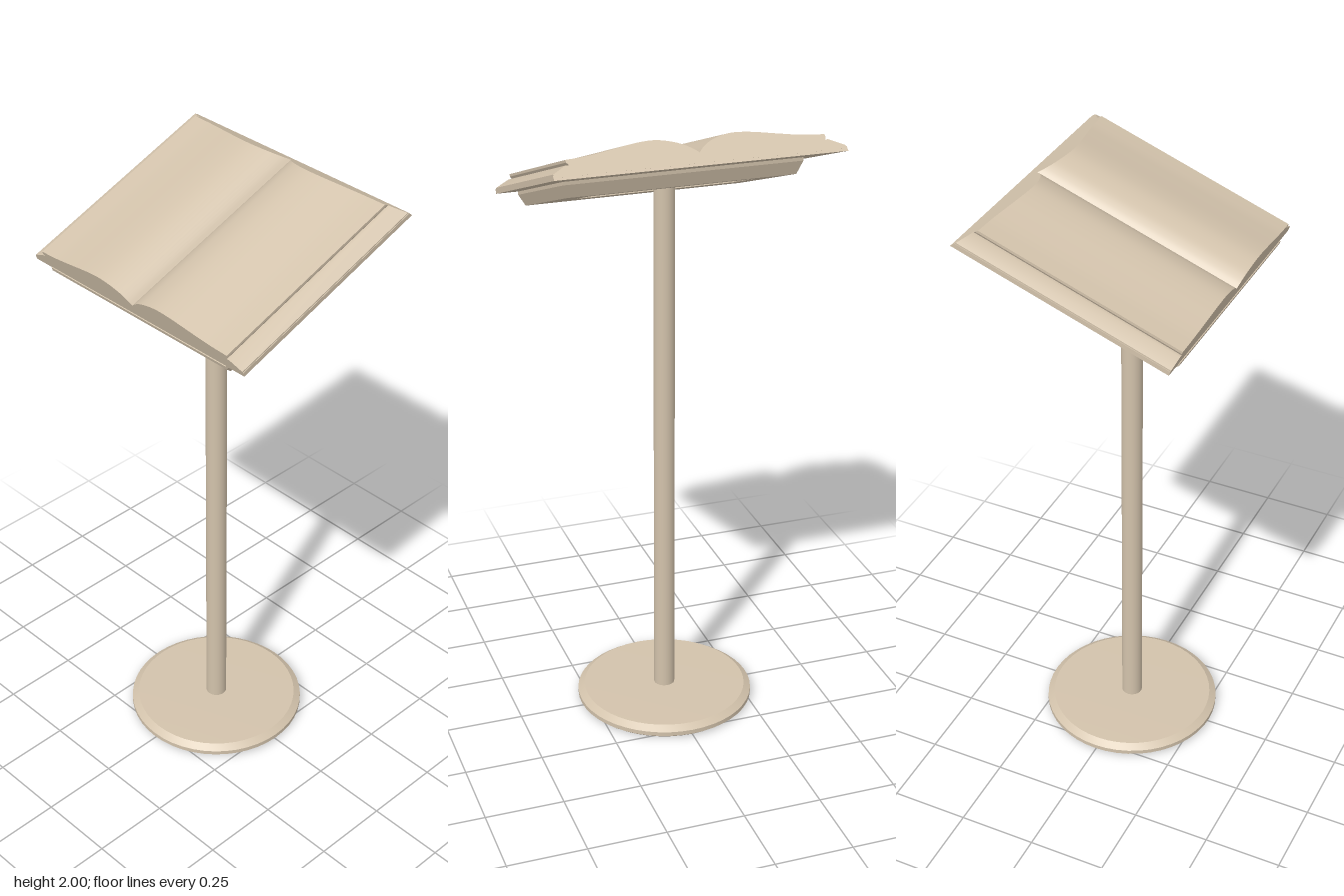
import * as THREE from 'three';
import { toCreasedNormals } from 'three/addons/utils/BufferGeometryUtils.js';

const TILT = 0.345;
const BACK = -0.355;

// Extrude an x-y section along z; the back end leans forward as it rises.
function slantedExtrude(points) {
  const front = 0.357;
  const geo = new THREE.ExtrudeGeometry(new THREE.Shape(points), { depth: 1, bevelEnabled: false });
  const p = geo.attributes.position;
  for (let i = 0; i < p.count; i++) {
    p.setZ(i, p.getZ(i) > 0.5 ? front : BACK + 0.89 * Math.max(p.getY(i), 0));
  }
  return toCreasedNormals(geo, 0.5);
}

// Skin a series of rectangles [halfWidth, zBack, zFront, y], closing the last one.
function rectLoft(rings) {
  const corners = rings.map(([w, z0, z1, y]) => [[w, y, z1], [-w, y, z1], [-w, y, z0], [w, y, z0]]);
  const out = [];
  const quad = (a, b, c, d) => out.push(...a, ...b, ...c, ...a, ...c, ...d);
  for (let i = 0; i < corners.length - 1; i++) {
    const a = corners[i], b = corners[i + 1];
    for (let k = 0; k < 4; k++) {
      const n = (k + 1) % 4;
      quad(a[k], a[n], b[n], b[k]);
    }
  }
  quad(...corners[corners.length - 1]);
  const geo = new THREE.BufferGeometry();
  geo.setAttribute('position', new THREE.Float32BufferAttribute(out, 3));
  geo.computeVertexNormals();
  return geo;
}

export function createModel() {
  const model = new THREE.Group();
  model.name = 'bookOnStand';
  const stone = new THREE.MeshStandardMaterial({ color: 0xd2c2ab });
  stone.name = 'pale stone';

  const add = (parent, name, geo) => {
    const mesh = new THREE.Mesh(geo, stone);
    mesh.name = name;
    parent.add(mesh);
    return mesh;
  };

  // Round foot with a chamfered rim
  const rim = [[0, 0], [0.28, 0], [0.29, 0.008], [0.29, 0.022], [0.268, 0.037], [0, 0.039]];
  const foot = new THREE.LatheGeometry(rim.map(([x, y]) => new THREE.Vector2(x, y)), 48);
  add(model, 'foot', toCreasedNormals(foot, 0.5));

  // Column
  const column = add(model, 'column', new THREE.CylinderGeometry(0.033, 0.034, 1.795, 24));
  column.position.y = 0.03 + 1.795 / 2;

  // Tilted desk and book
  const desk = new THREE.Group();
  desk.name = 'tiltedDesk';
  desk.position.set(0, 1.826, -0.015);
  desk.rotation.x = TILT;
  model.add(desk);

  // Support tray with sloping sides and a recess around the column
  add(desk, 'supportTray', rectLoft([
    [0, 0.1, 0.1, -0.002],
    [0.37, -0.185, 0.36, -0.002],
    [0.37, -0.18, 0.36, -0.014],
    [0.355, -0.15, 0.34, -0.05],
    [0.255, -0.06, 0.115, -0.05],
    [0.255, -0.06, 0.115, -0.018],
  ]));

  // Book cover
  add(desk, 'bookCover', slantedExtrude([[-0.44, -0.004], [0.44, -0.004], [0.44, 0.01], [-0.44, 0.01]]
    .map(([x, y]) => new THREE.Vector2(x, y))));

  // Open pages: curved leaves, a small step, then the spread fore-edge
  const leaf = new THREE.SplineCurve([[0, 0.035], [0.02, 0.052], [0.055, 0.07], [0.11, 0.083],
    [0.17, 0.081], [0.25, 0.068], [0.32, 0.057], [0.39, 0.052]]
    .map(([x, y]) => new THREE.Vector2(x, y))).getPoints(28);
  const edge = [[0.39, 0.044], [0.385, 0.036], [0.395, 0.036], [0.438, 0.014], [0.438, 0.004]]
    .map(([x, y]) => new THREE.Vector2(x, y));
  const half = [...leaf, ...edge];
  const mirrored = half.slice(1).reverse().map((v) => new THREE.Vector2(-v.x, v.y));
  add(desk, 'openPages', slantedExtrude([...mirrored, ...half]));

  return model;
}
